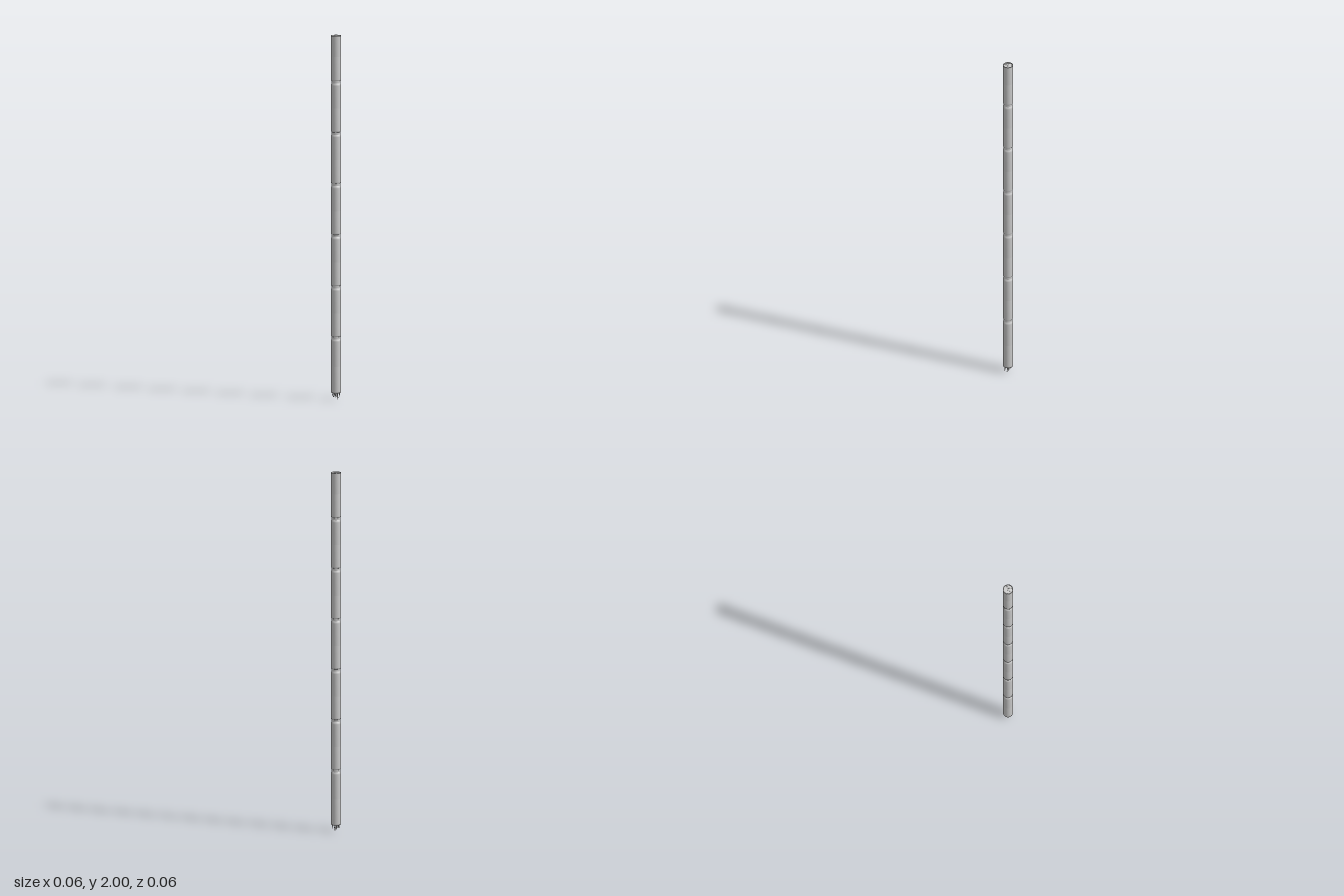
import * as THREE from 'three';

const material = new THREE.MeshStandardMaterial({ color: 0xcccccc, side: THREE.DoubleSide });
const R = 0.028; // outer radius of the pole
const NECK = 0.0235; // radius of the grooves between sections

function lathe(name, points) {
  const profile = points.map(([r, y]) => new THREE.Vector2(r, y));
  const mesh = new THREE.Mesh(new THREE.LatheGeometry(profile, 32), material);
  mesh.name = name;
  return mesh;
}

// One section: lower tube and upper sleeve meeting at a seam
function makeSection(bottom, seam, top, isFirst, isLast) {
  const section = new THREE.Group();
  section.name = 'poleSection';
  section.add(lathe('lowerTube', [
    [NECK, bottom], [R - 0.001, bottom + 0.002], [R, bottom + 0.008],
    [R, seam], [R - 0.003, seam],
  ]));
  section.add(lathe('upperSleeve', isLast
    ? [[R - 0.003, seam], [R, seam], [R, top]]
    : [[R - 0.003, seam], [R, seam], [R, top - 0.026], [R - 0.001, top - 0.02], [NECK, top - 0.013]]));
  // Narrow neck that joins this section to the next
  if (!isLast) section.add(lathe('neck', [[NECK, top - 0.013], [NECK, top]]));
  if (isFirst) section.add(lathe('bottomCap', [[0, bottom + 0.001], [NECK, bottom + 0.001]]));
  return section;
}

export function createModel() {
  const model = new THREE.Group();
  model.name = 'sectionedPole';

  // Stacked sections
  const joints = [0.035, 0.345, 0.625, 0.907, 1.188, 1.47, 1.752, 2];
  const seams = [0.182, 0.475, 0.755, 1.037, 1.318, 1.602, 1.885];
  seams.forEach((seam, i) => {
    model.add(makeSection(joints[i], seam, joints[i + 1], i === 0, i === seams.length - 1));
  });

  // Recessed end plate inside the top rim
  model.add(lathe('topRim', [[R, 2], [R - 0.002, 2], [R - 0.002, 1.994]]));
  model.add(lathe('topPlate', [[R - 0.002, 1.994], [0.013, 1.995], [0, 1.995]]));

  // Wires: x, z, lower end, sideways bend
  const wires = [
    [0.007, 0.003, 0.002, 0.001], [-0.008, 0.014, 0.015, -0.003],
    [0.012, 0.014, 0.012, 0.004], [-0.018, 0, 0.02, -0.002],
    [-0.006, 0, 0.01, 0.002], [-0.009, -0.017, 0.018, 0.003],
    [0.018, -0.008, 0.016, 0.001],
  ];
  wires.forEach(([x, z, end, bend]) => {
    const curve = new THREE.CatmullRomCurve3([
      new THREE.Vector3(x, 0.045, z),
      new THREE.Vector3(x, (0.036 + end) / 2, z),
      new THREE.Vector3(x + bend, end, z + bend * 0.5),
    ]);
    const wire = new THREE.Mesh(new THREE.TubeGeometry(curve, 6, 0.0022, 8), material);
    wire.name = 'wire';
    model.add(wire);

    const tip = new THREE.Mesh(new THREE.SphereGeometry(0.0022, 8, 6), material);
    tip.name = 'wireTip';
    tip.position.set(x + bend, end + 0.0002, z + bend * 0.5);
    model.add(tip);

    // Matching socket in the top plate
    const socket = new THREE.Mesh(new THREE.TorusGeometry(0.0025, 0.0007, 6, 12), material);
    socket.name = 'socket';
    socket.rotation.x = Math.PI / 2;
    socket.position.set(x, 1.995, z);
    model.add(socket);
  });

  return model;
}
